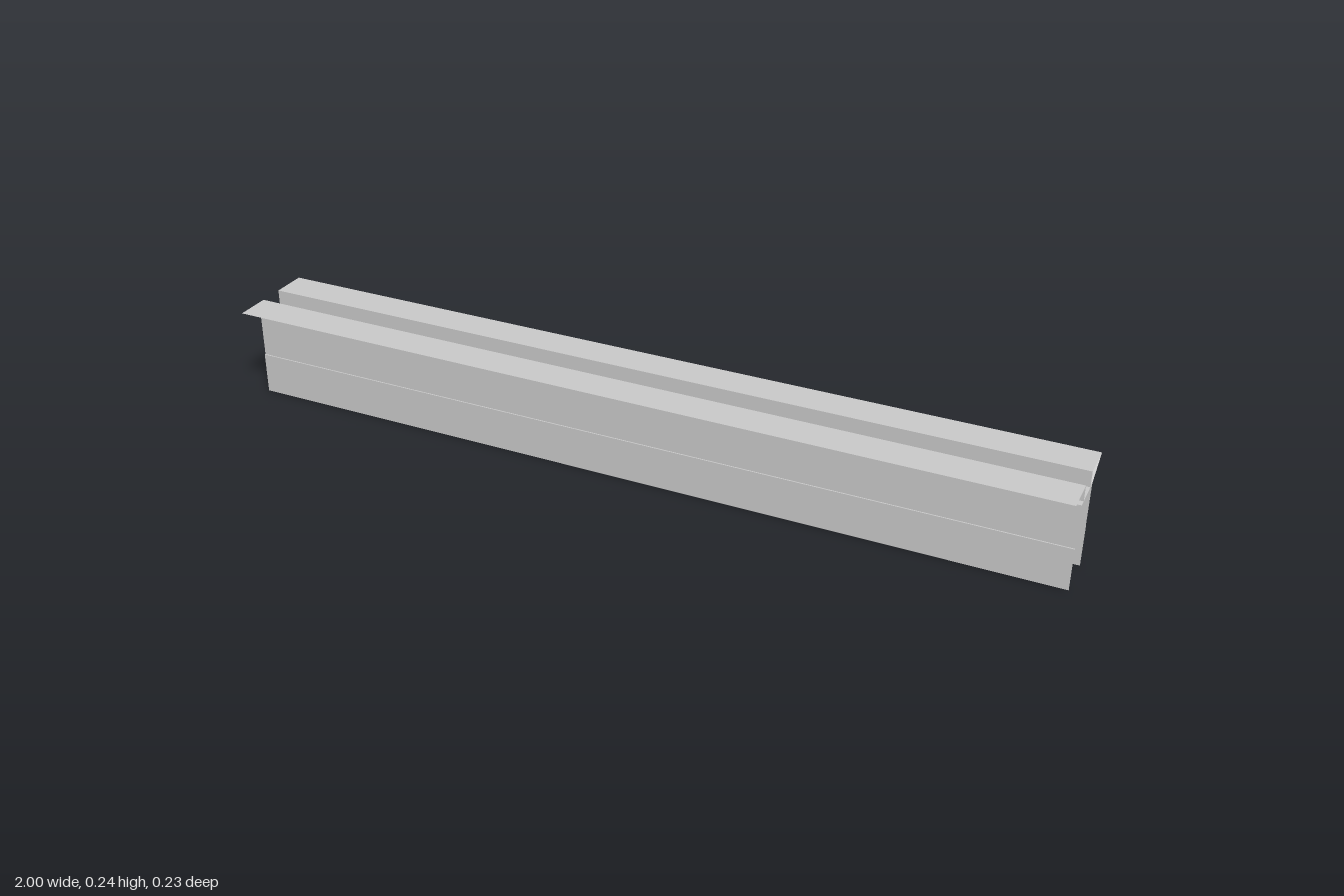
import * as THREE from 'three';

const material = new THREE.MeshStandardMaterial({
  color: 0xcccccc, flatShading: true, side: THREE.DoubleSide,
});

// Sheet swept along x from an open [z, y] profile
function sheet(name, profile, halfLength = 1) {
  const positions = [];
  for (let i = 0; i < profile.length - 1; i++) {
    const [z0, y0] = profile[i];
    const [z1, y1] = profile[i + 1];
    const a = [-halfLength, y0, z0], b = [halfLength, y0, z0];
    const c = [halfLength, y1, z1], d = [-halfLength, y1, z1];
    positions.push(...a, ...b, ...c, ...a, ...c, ...d);
  }
  const geometry = new THREE.BufferGeometry();
  geometry.setAttribute('position', new THREE.Float32BufferAttribute(positions, 3));
  geometry.computeVertexNormals();
  const mesh = new THREE.Mesh(geometry, material);
  mesh.name = name;
  return mesh;
}

export function createModel() {
  const group = new THREE.Group();
  group.name = 'beam';
  const top = 0.24, shoulder = 0.203, seam = 0.1;
  const wall = 0.05, slot = 0.03, lip = 0.115, step = 0.003;

  for (const [side, s] of [['front', 1], ['back', -1]]) {
    // Side wall: two panels with a slight step at the seam
    group.add(sheet(side + 'Wall', [
      [s * wall, 0], [s * wall, seam],
      [s * (wall - step), seam], [s * (wall - step), shoulder],
    ]));
    // Flared top flange: sloped underside, flat top, inner slot wall
    group.add(sheet(side + 'Flange', [
      [s * (wall - step), shoulder], [s * lip, top], [s * slot, top], [s * slot, shoulder],
    ]));
  }
  // Floor of the slot, bridging the two walls
  group.add(sheet('slotFloor', [[wall - step, shoulder], [step - wall, shoulder]]));
  return group;
}
